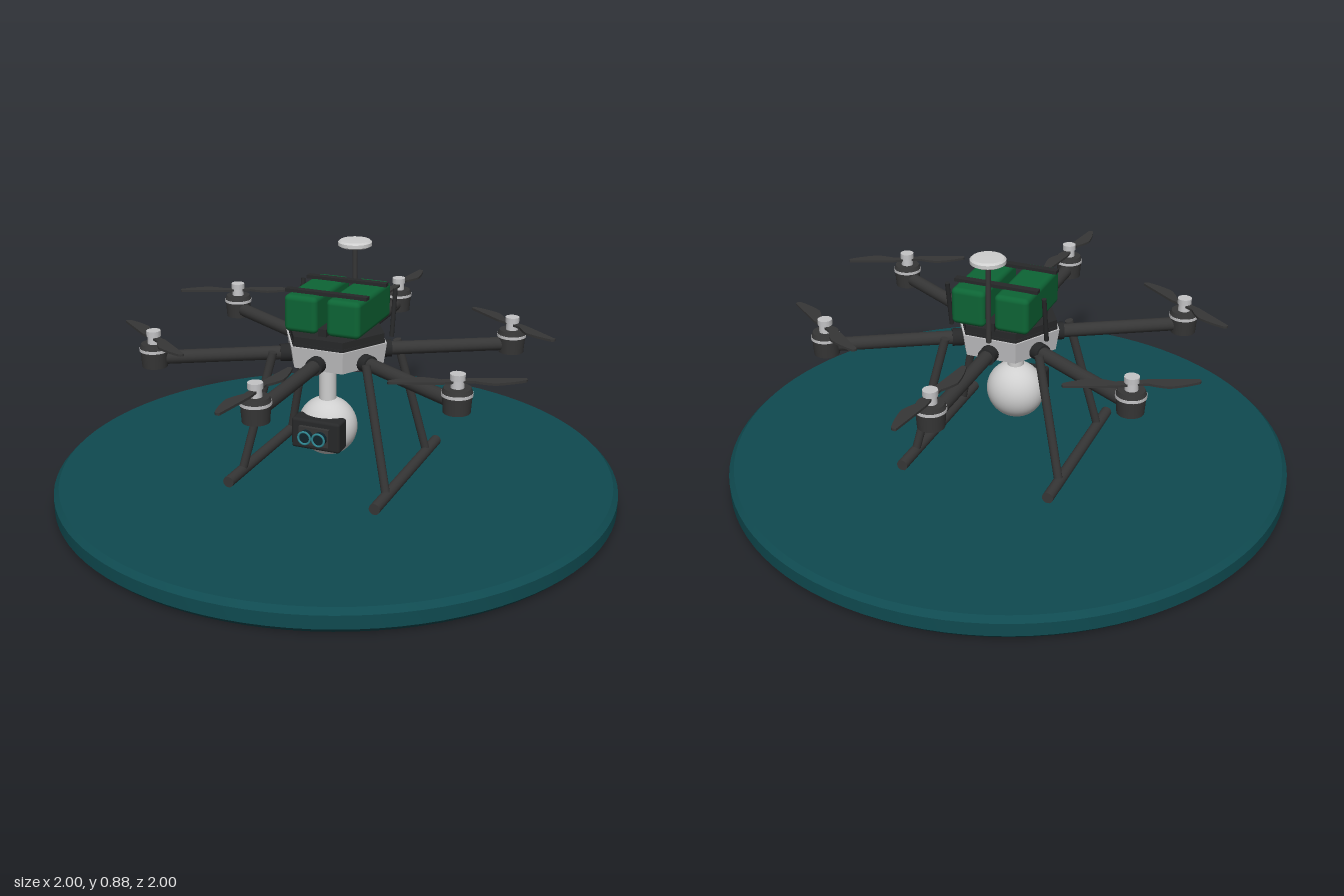
import * as THREE from 'three';
import { toCreasedNormals } from 'three/addons/utils/BufferGeometryUtils.js';
import { RoundedBoxGeometry } from 'three/addons/geometries/RoundedBoxGeometry.js';

const mat = (name, color) => {
  const m = new THREE.MeshStandardMaterial({ color });
  m.name = name;
  return m;
};

export function createModel() {
  const model = new THREE.Group();
  model.name = 'hexacopterOnPad';

  const teal = mat('padTeal', 0x0f4a50);
  const carbon = mat('carbonGrey', 0x363636);
  const black = mat('plateBlack', 0x272829);
  const light = mat('shellGrey', 0xc4c4c6);
  const white = mat('gimbalWhite', 0xcfcfcf);
  const green = mat('batteryGreen', 0x0d6535);
  const lensRim = mat('lensTeal', 0x2f8590);
  const glass = mat('lensGlass', 0x10242c);

  const add = (parent, name, geo, material, x = 0, y = 0, z = 0) => {
    const m = new THREE.Mesh(geo, material);
    m.name = name;
    m.position.set(x, y, z);
    parent.add(m);
    return m;
  };
  const cyl = (rTop, rBottom, h, n = 24) => new THREE.CylinderGeometry(rTop, rBottom, h, n);
  // round bar between two points
  const bar = (parent, name, a, b, r, material) => {
    const p = new THREE.Vector3(...a), q = new THREE.Vector3(...b);
    const d = q.clone().sub(p);
    const m = add(parent, name, cyl(r, r, d.length(), 16), material);
    m.position.copy(p).add(q).multiplyScalar(0.5);
    m.quaternion.setFromUnitVectors(new THREE.Vector3(0, 1, 0), d.normalize());
    return m;
  };
  const lathe = (pts, n) => toCreasedNormals(
    new THREE.LatheGeometry(pts.map(p => new THREE.Vector2(...p)), n), 0.5);
  // six-sided prism with corners on the x axis
  const hex = (rTop, rBottom, h) => toCreasedNormals(cyl(rTop, rBottom, h, 6).rotateY(Math.PI / 6 * 3), 0.5);

  // landing pad with chamfered rim
  add(model, 'landingPad', lathe(
    [[0, 0], [0.982, 0], [1, 0.018], [1, 0.064], [0.982, 0.082], [0, 0.082]], 96), teal);

  // central body
  const body = new THREE.Group();
  body.name = 'body';
  model.add(body);
  add(body, 'lowerShell', hex(0.19, 0.178, 0.078), light, 0, 0.536);
  add(body, 'shellSeam', hex(0.183, 0.183, 0.012), black, 0, 0.579);
  add(body, 'topPlate', hex(0.18, 0.18, 0.026), black, 0, 0.596);

  // battery pair and straps
  for (const s of [-1, 1]) {
    add(body, 'battery', new RoundedBoxGeometry(0.122, 0.13, 0.304, 3, 0.018), green, s * 0.078, 0.68, -0.02);
  }
  for (const z of [-0.1, 0.08]) {
    add(body, 'batteryStrap', new THREE.BoxGeometry(0.3, 0.012, 0.026), black, 0, 0.75, z);
  }
  add(body, 'batterySpine', new THREE.BoxGeometry(0.03, 0.03, 0.28), black, 0, 0.62, -0.02);

  // radio antennas
  for (const s of [-1, 1]) {
    bar(body, 'antenna', [s * 0.175, 0.57, -0.085], [s * 0.175, 0.735, -0.115], 0.008, black);
  }

  // satellite receiver on its mast
  bar(body, 'receiverMast', [0, 0.57, -0.172], [0, 0.86, -0.172], 0.009, carbon);
  add(body, 'receiverPuck', lathe(
    [[0, 0], [0.05, 0], [0.06, 0.006], [0.06, 0.018], [0.053, 0.024], [0, 0.026]], 32), white, 0, 0.854, -0.172);

  // propeller blade outline, bulging towards one side
  const outline = new THREE.Shape();
  outline.moveTo(0.012, -0.012);
  outline.lineTo(0.055, -0.014);
  outline.quadraticCurveTo(0.13, -0.004, 0.216, 0.008);
  outline.quadraticCurveTo(0.222, 0.018, 0.212, 0.026);
  outline.quadraticCurveTo(0.16, 0.042, 0.11, 0.043);
  outline.quadraticCurveTo(0.08, 0.034, 0.05, 0.014);
  outline.lineTo(0.012, 0.012);
  const bladeGeo = new THREE.ExtrudeGeometry(outline, { depth: 0.008, bevelEnabled: false, curveSegments: 8 });
  bladeGeo.rotateX(Math.PI / 2);

  // six arms with motors and propellers
  for (let i = 0; i < 6; i++) {
    const a = Math.PI / 2 - i * Math.PI / 3;
    const c = Math.cos(a), s = Math.sin(a);
    const at = (r, y) => [c * r, y, s * r];
    const arm = new THREE.Group();
    arm.name = 'armAssembly';
    model.add(arm);
    bar(arm, 'arm', at(0.1, 0.523), at(0.625, 0.523), 0.024, carbon);
    bar(arm, 'armClamp', at(0.14, 0.523), at(0.195, 0.523), 0.031, black);

    const motor = new THREE.Group();
    motor.name = 'motor';
    motor.position.set(c * 0.627, 0, s * 0.627);
    arm.add(motor);
    add(motor, 'motorMount', cyl(0.048, 0.044, 0.058, 28), carbon, 0, 0.522);
    add(motor, 'motorRing', cyl(0.051, 0.051, 0.01, 28), light, 0, 0.555);
    add(motor, 'motorBell', cyl(0.044, 0.05, 0.016, 28), carbon, 0, 0.567);
    add(motor, 'motorHub', cyl(0.02, 0.022, 0.04), light, 0, 0.588);
    add(motor, 'hubCap', cyl(0.025, 0.025, 0.02, 12), light, 0, 0.611);

    const prop = new THREE.Group();
    prop.name = 'propeller';
    prop.position.y = 0.599;
    prop.rotation.y = -(Math.PI / 2 + i * Math.PI / 3);
    motor.add(prop);
    for (const turn of [0, Math.PI]) {
      add(prop, 'blade', bladeGeo, carbon).rotation.y = turn;
    }
  }

  // landing gear
  for (const s of [-1, 1]) {
    const gear = new THREE.Group();
    gear.name = 'landingGear';
    model.add(gear);
    bar(gear, 'skid', [s * 0.272, 0.102, -0.316], [s * 0.272, 0.102, 0.316], 0.02, carbon);
    for (const f of [-1, 1]) {
      bar(gear, 'leg', [s * 0.172, 0.54, f * 0.148], [s * 0.272, 0.102, f * 0.206], 0.015, carbon);
    }
  }

  // hanging gimbal and camera
  const gimbal = new THREE.Group();
  gimbal.name = 'gimbal';
  gimbal.position.set(0, 0.27, 0.073);
  model.add(gimbal);
  add(gimbal, 'gimbalNeck', cyl(0.03, 0.03, 0.17), white, 0, 0.165);
  add(gimbal, 'gimbalBall', new THREE.SphereGeometry(0.106, 40, 28), white).scale.z = 0.89;
  add(gimbal, 'cameraHousing', new RoundedBoxGeometry(0.18, 0.11, 0.07, 3, 0.01), black, 0, 0, 0.077);
  add(gimbal, 'lensPanel', new THREE.BoxGeometry(0.11, 0.065, 0.016), carbon, 0, 0, 0.117);
  for (const s of [-1, 1]) {
    add(gimbal, 'lensBarrel', cyl(0.024, 0.024, 0.03).rotateX(Math.PI / 2), glass, s * 0.026, 0, 0.13);
    add(gimbal, 'lensRim', new THREE.TorusGeometry(0.022, 0.004, 8, 28), lensRim, s * 0.026, 0, 0.145);
  }

  return model;
}
